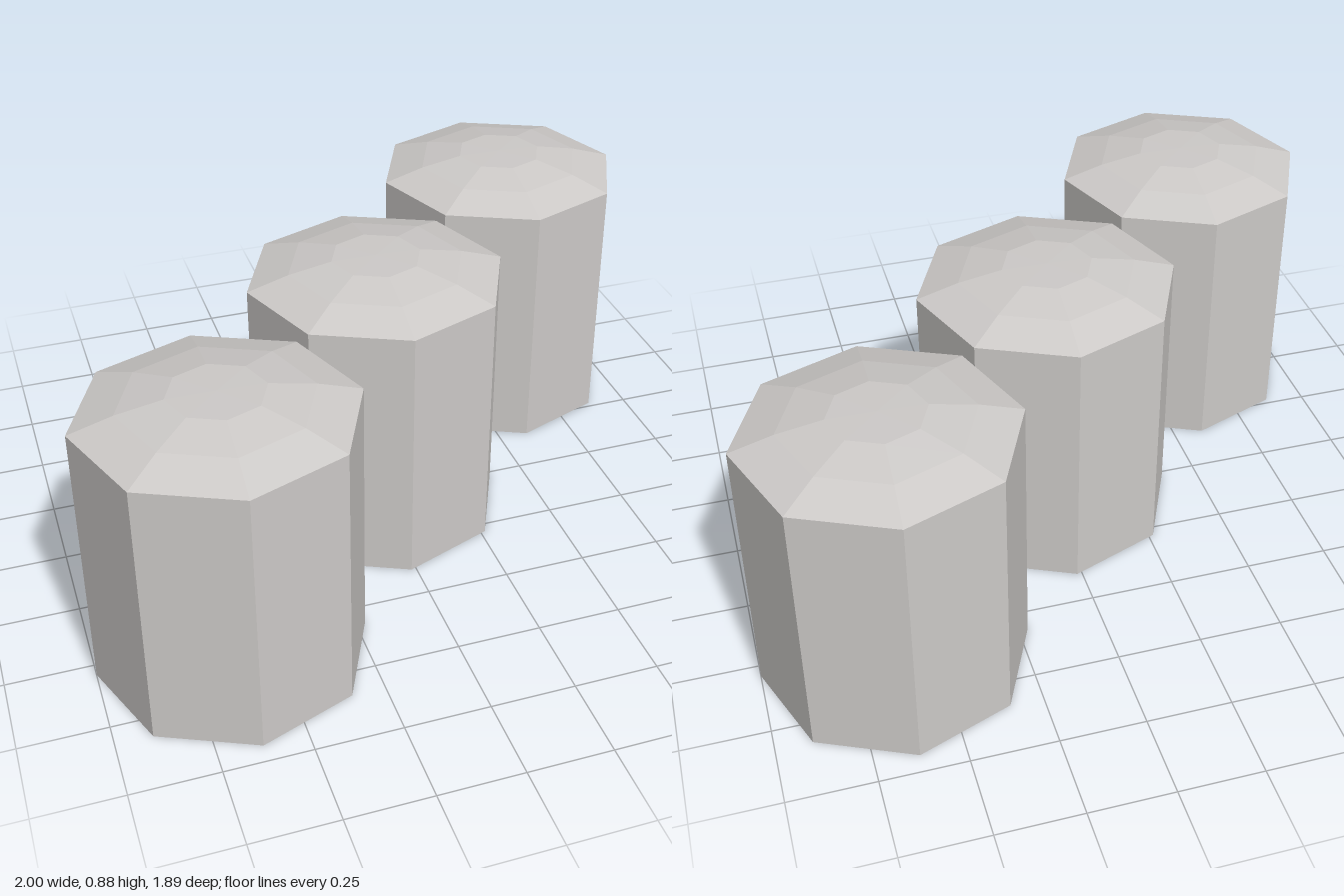
import * as THREE from 'three';

const SIDES = 8;
const RADIUS = 0.389;
const RIM_Y = 0.815;
const TURN = -0.038; // slight twist of the octagon

export function createModel() {
  const model = new THREE.Group();
  model.name = 'domedColumns';

  const paleGrey = new THREE.MeshStandardMaterial({
    color: 0xcdcac8, flatShading: true, side: THREE.DoubleSide,
  });
  paleGrey.name = 'paleGrey';

  // Eight-sided wall, open underneath
  const wallGeometry = new THREE.CylinderGeometry(RADIUS, RADIUS, RIM_Y, SIDES, 1, true, TURN);
  wallGeometry.translate(0, RIM_Y / 2, 0);

  // Shallow faceted dome with a flat crown
  const profile = [[RADIUS, RIM_Y], [0.265, 0.853], [0.135, 0.878], [0, 0.88]]
    .map(([r, y]) => new THREE.Vector2(r, y));
  const domeGeometry = new THREE.LatheGeometry(profile, SIDES, TURN);

  // Three identical columns on a diagonal
  const columns = [['right', -1], ['middle', 0], ['left', 1]];
  for (const [side, step] of columns) {
    const column = new THREE.Group();
    column.name = side + 'Column';
    const wall = new THREE.Mesh(wallGeometry, paleGrey);
    wall.name = 'wall';
    const dome = new THREE.Mesh(domeGeometry, paleGrey);
    dome.name = 'domedTop';
    column.add(wall, dome);
    column.position.set(0.611 * step, 0, -0.555 * step);
    model.add(column);
  }
  return model;
}
